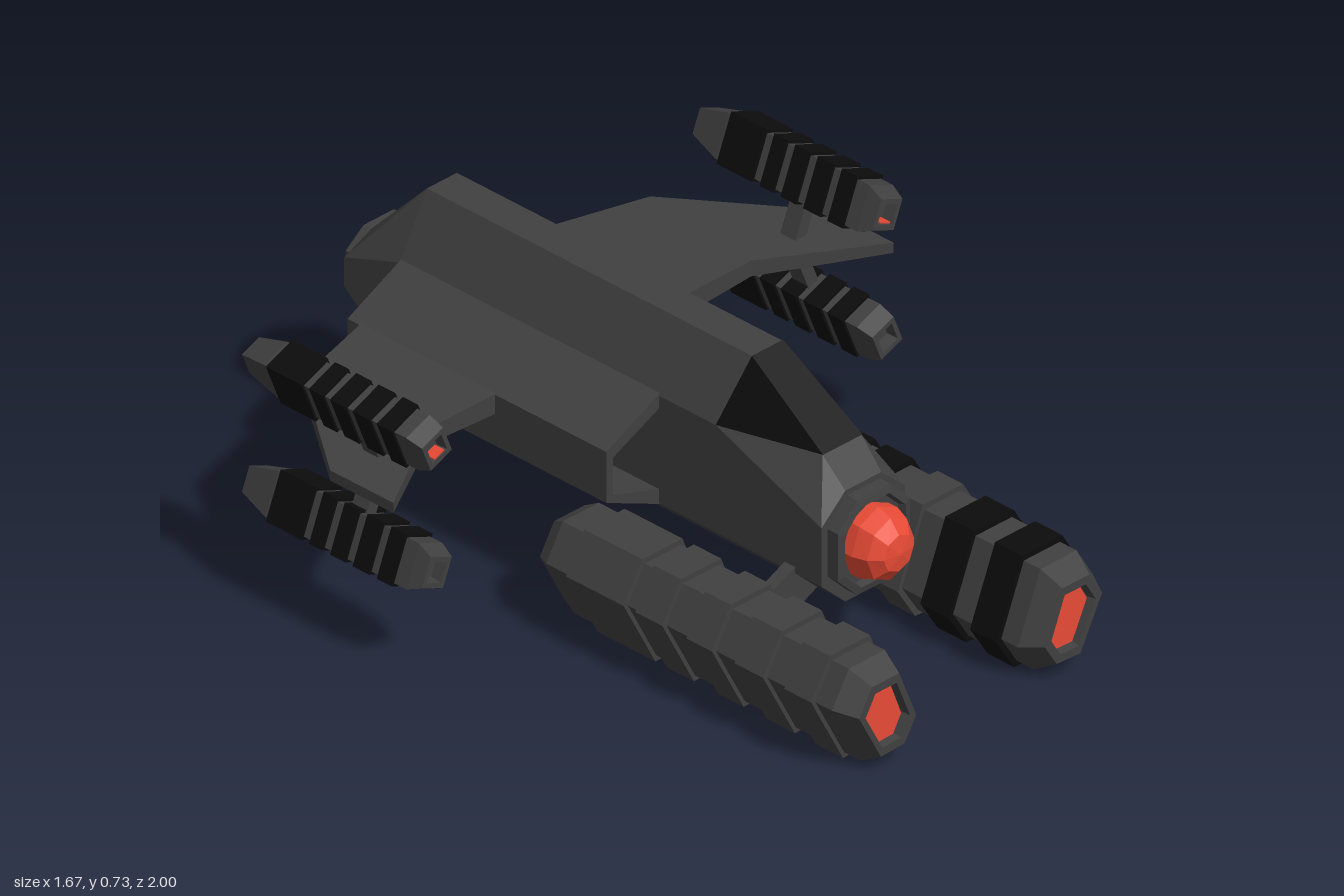
import * as THREE from 'three';
import { ConvexGeometry } from 'three/addons/geometries/ConvexGeometry.js';

const paint = (color) => new THREE.MeshStandardMaterial({ color, flatShading: true, side: THREE.DoubleSide });
const HULL = paint(0x404040), BLACK = paint(0x0c0c0c), RED = paint(0xe84a35);

function add(parent, name, geometry, material = HULL) {
  const mesh = new THREE.Mesh(geometry, material);
  mesh.name = name;
  parent.add(mesh);
  return mesh;
}

// Counter-clockwise outline, optionally mirrored across x
const sided = (pts, s) => (s > 0 ? pts : pts.map(([x, y]) => [-x, y]).reverse());
const toShape = (pts) => new THREE.Shape(pts.map(([x, y]) => new THREE.Vector2(x, y)));

// Outline swept along z; rings are [z, scaleX, scaleY], ends are capped
function stack(outline, rings) {
  const n = outline.length, pos = [], index = [];
  for (const [z, sx, sy = sx] of rings) for (const [x, y] of outline) pos.push(x * sx, y * sy, z);
  for (let k = 0; k < rings.length - 1; k++) {
    for (let i = 0; i < n; i++) {
      const a = k * n + i, b = k * n + ((i + 1) % n);
      index.push(a, b, b + n, a, b + n, a + n);
    }
  }
  const last = (rings.length - 1) * n;
  for (let i = 1; i < n - 1; i++) index.push(0, i + 1, i, last, last + i, last + i + 1);
  const g = new THREE.BufferGeometry();
  g.setAttribute('position', new THREE.Float32BufferAttribute(pos, 3));
  g.setIndex(index);
  const flat = g.toNonIndexed();
  flat.computeVertexNormals();
  return flat;
}

// Convex hull of points mirrored in x
function hull(points) {
  const v = [];
  for (const [x, y, z] of points) v.push(new THREE.Vector3(x, y, z), new THREE.Vector3(-x, y, z));
  return new ConvexGeometry(v);
}

function fuselage(parent) {
  add(parent, 'fuselage', hull([
    [0.05, 0.73, 0.29], [0.14, 0.565, 0.26], [0.14, 0.27, 0.26], [0.06, 0.195, 0.26],
    [0.05, 0.73, -0.79], [0.14, 0.565, -0.79], [0.14, 0.27, -0.79], [0.06, 0.195, -0.79],
    [0.05, 0.54, -0.975], [0.14, 0.5, -0.975], [0.14, 0.42, -0.975], [0.05, 0.38, -0.975],
  ]));
  add(parent, 'nose', hull([
    [0.14, 0.565, 0.26], [0.14, 0.27, 0.26], [0.06, 0.195, 0.26], [0.065, 0.57, 0.54],
    [0.06, 0.5, 0.61], [0.14, 0.43, 0.61], [0.14, 0.27, 0.61], [0.06, 0.195, 0.61],
  ]));
  add(parent, 'canopy', hull([
    [0.052, 0.732, 0.292], [0.141, 0.566, 0.26], [0.066, 0.572, 0.542],
  ]), BLACK);

  // Collar and faceted lamp on the nose
  const collar = [[0.055, -0.125], [0.12, -0.06], [0.12, 0.07], [0.055, 0.135],
    [-0.055, 0.135], [-0.12, 0.07], [-0.12, -0.06], [-0.055, -0.125]];
  add(parent, 'noseCollar', stack(collar, [[0.6, 1], [0.645, 1], [0.65, 0.85], [0.63, 0.8]])).position.y = 0.35;
  const octagon = [...Array(8)].map((_, i) => [Math.cos(i * Math.PI / 4), Math.sin(i * Math.PI / 4)]);
  add(parent, 'noseLamp', stack(octagon, [[0.62, 0.09, 0.1], [0.66, 0.09, 0.1], [0.7, 0.078, 0.085],
    [0.728, 0.05], [0.735, 0.005]]), RED).position.y = 0.352;

  // Recessed tail nozzle
  const nozzle = [[0.05, -0.08], [0.11, -0.035], [0.11, 0.035], [0.05, 0.08],
    [-0.05, 0.08], [-0.11, 0.035], [-0.11, -0.035], [-0.05, -0.08]];
  add(parent, 'tailNozzle', stack(nozzle, [[-0.98, 0.6], [-1, 0.7], [-1, 1], [-0.96, 1]])).position.y = 0.46;
}

// Open-ended duct along the side of the hull
function sideDuct(parent, s) {
  const outline = [[0.135, 0.265], [0.315, 0.345], [0.315, 0.485], [0.135, 0.572],
    [0.135, 0.532], [0.293, 0.46], [0.293, 0.357], [0.135, 0.307]];
  const g = new THREE.ExtrudeGeometry(toShape(sided(outline, s)), { depth: 0.86, bevelEnabled: false });
  add(parent, 'sideDuct', g).position.z = -0.79;
}

// Swept wing, flat on top and thinning to the tip
function wing(parent, s) {
  const plan = [[0.31, -0.75], [0.58, -0.675], [0.835, -0.33], [0.835, -0.12], [0.54, -0.3], [0.31, -0.3]];
  const g = new THREE.ExtrudeGeometry(toShape(sided(plan, s)), { depth: 0.055, bevelEnabled: false });
  g.rotateX(Math.PI / 2);
  const p = g.attributes.position;
  for (let i = 0; i < p.count; i++) {
    if (p.getY(i) < -0.01) p.setY(i, -0.055 + 0.027 * (Math.abs(p.getX(i)) - 0.31) / 0.525);
  }
  g.computeVertexNormals();
  add(parent, 'wing', g).position.y = 0.487;
}

// Small banded gun above (v = 1) or below (v = -1) the wing tip
function wingGun(parent, s, v) {
  const gun = new THREE.Group();
  gun.name = v > 0 ? 'upperWingGun' : 'lowerWingGun';
  gun.position.set(0.752 * s, 0.456 + 0.17 * v, 0);
  gun.rotation.z = -0.385 * s * v;
  const w = 0.0475, h = 0.066;
  const box = [[w, -h], [w, h], [-w, h], [-w, -h]];
  add(gun, 'gunBody', stack(box, [[-0.665, 0.65, 0.5], [-0.57, 0.88], [-0.1, 0.88],
    [-0.058, 0.8, 0.6], [-0.058, 0.55, 0.4], [-0.09, 0.5, 0.35]]));
  for (const [z0, z1] of [[-0.19, -0.14], [-0.27, -0.215], [-0.345, -0.295], [-0.415, -0.37], [-0.558, -0.44]]) {
    add(gun, 'gunBand', stack(box, [[z0, 1], [z1, 1]]), BLACK);
  }
  if (v > 0) {
    add(gun, 'muzzleLamp', new THREE.BoxGeometry(0.035, 0.004, 0.03), RED).position.set(0, -0.02, -0.073);
  }
  parent.add(gun);

  // Strut from the wing to the gun
  const strut = add(parent, 'gunStrut', new THREE.BoxGeometry(0.034, 0.15, 0.05));
  strut.position.set(0.712 * s, 0.467 + 0.06 * v, -0.315);
  strut.rotation.z = -0.385 * s * v;
}

// Large six-sided banded pod slung under the nose
function enginePod(parent, s) {
  const pod = new THREE.Group();
  pod.name = s > 0 ? 'leftPod' : 'rightPod';
  pod.position.set(0.31 * s, 0.153, 0);
  const hex = sided([[-0.082, -0.145], [0.034, -0.15], [0.14, 0.048], [0.078, 0.15], [-0.056, 0.15], [-0.14, -0.054]], s);
  add(pod, 'podBody', stack(hex, [[-0.02, 0.5], [-0.05, 0.55], [-0.05, 0.76], [-0.01, 0.9],
    [0.94, 0.9], [1, 0.68], [1, 0.53], [0.975, 0.5]]));
  const lamp = new THREE.ShapeGeometry(toShape(hex));
  lamp.scale(0.46, 0.5, 1);
  add(pod, 'podLamp', lamp, RED).position.z = 0.98;
  const bands = [[0.07, 0.262], [0.3, 0.39], [0.47, 0.555], [0.63, 0.725], [0.795, 0.885]];
  bands.forEach(([z0, z1], i) => {
    add(pod, 'podBand', stack(hex, [[z0, 1], [z1, 1]]), s > 0 && i !== 2 ? BLACK : HULL);
  });
  parent.add(pod);

  // Pylon from the hull to the pod
  const pylon = add(parent, 'podPylon', new THREE.BoxGeometry(0.24, 0.11, 0.035));
  pylon.position.set(0.165 * s, 0.215, 0.505);
  pylon.rotation.z = -0.43 * s;
}

export function createModel() {
  const model = new THREE.Group();
  model.name = 'starfighter';
  fuselage(model);
  for (const s of [1, -1]) {
    sideDuct(model, s);
    wing(model, s);
    wingGun(model, s, 1);
    wingGun(model, s, -1);
    enginePod(model, s);
  }
  return model;
}
